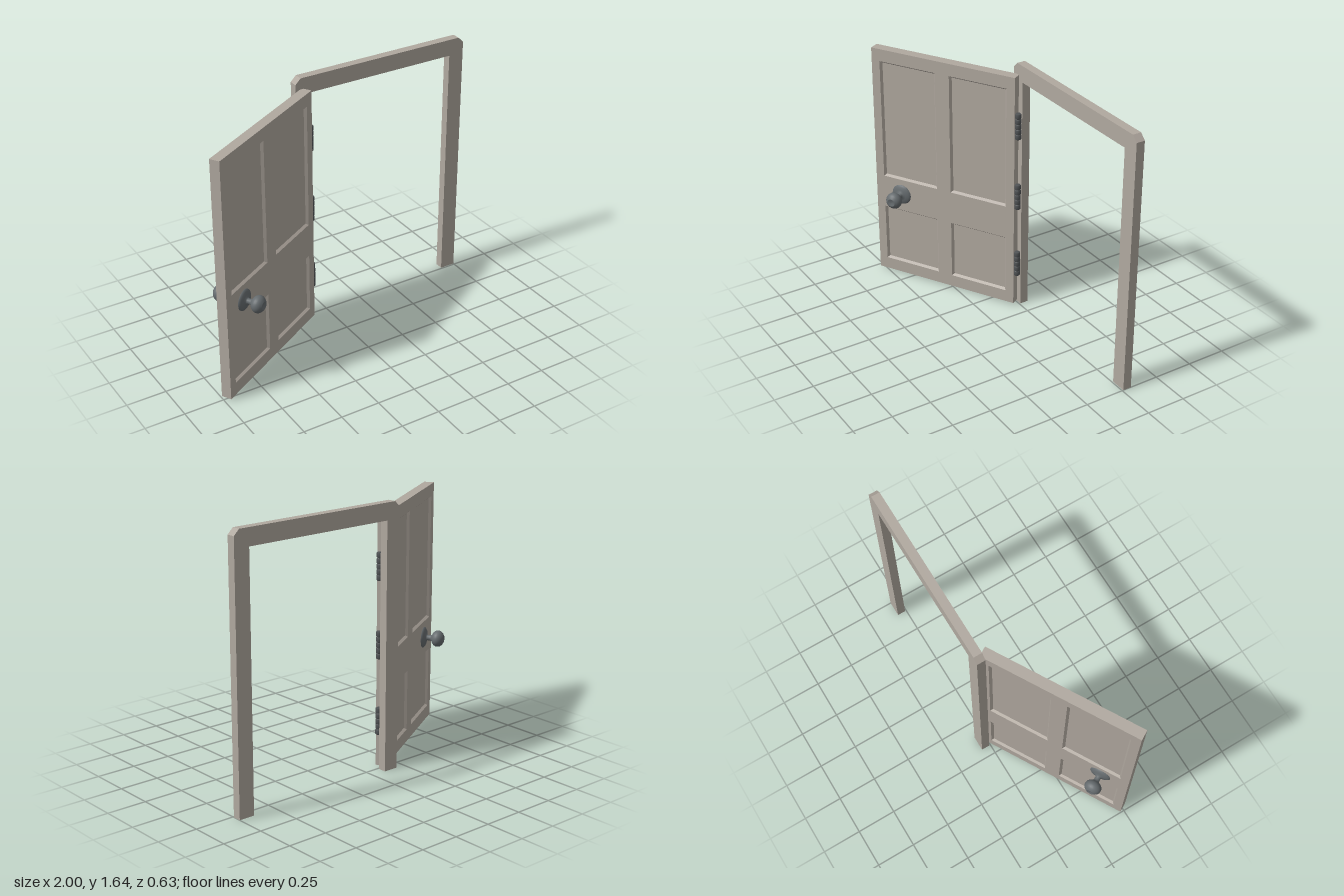
import * as THREE from 'three';
import { mergeGeometries } from 'three/addons/utils/BufferGeometryUtils.js';

const W = 0.988, T = 0.064;          // door width and thickness
const BOTTOM = 0.01, TOP = 1.575;    // door heights
const INSET = 0.012, DEPTH = 0.015;  // sloped border of the sunken panels

const mat = (name, color) => {
  const m = new THREE.MeshStandardMaterial({ color });
  m.name = name;
  return m;
};

const mesh = (name, geometry, material) => {
  const m = new THREE.Mesh(geometry, material);
  m.name = name;
  return m;
};

// Corners of a rectangle [left, bottom, right, top], counter-clockwise
const corners = ([l, b, r, t]) => [[l, b], [r, b], [r, t], [l, t]];

// Four flat quads joining rectangle a at depth za to rectangle b at depth zb
function ring(a, za, b, zb) {
  const A = corners(a), B = corners(b), pos = [];
  for (let i = 0; i < 4; i++) {
    const j = (i + 1) % 4;
    const q = [[...A[i], za], [...A[j], za], [...B[j], zb], [...B[i], zb]];
    for (const k of [0, 1, 2, 0, 2, 3]) pos.push(...q[k]);
  }
  const g = new THREE.BufferGeometry();
  g.setAttribute('position', new THREE.Float32BufferAttribute(pos, 3));
  g.computeVertexNormals();
  return g;
}

// Flat sheet at depth z, with optional rectangular holes
function sheet(rect, z, holes = []) {
  const toPoints = r => corners(r).map(p => new THREE.Vector2(...p));
  const s = new THREE.Shape(toPoints(rect));
  holes.forEach(h => s.holes.push(new THREE.Path(toPoints(h).reverse())));
  const g = new THREE.ShapeGeometry(s).toNonIndexed();
  g.deleteAttribute('uv');
  return g.translate(0, 0, z);
}

export function createModel() {
  const model = new THREE.Group();
  model.name = 'openDoor';
  const wood = mat('paintedWood', 0xb0a89f);
  const knobMetal = mat('knobMetal', 0x666c6f);
  const hingeMetal = mat('hingeMetal', 0x505355);

  // Door frame: two posts and a lintel with clipped top corners
  const outline = [
    [-0.19, 0], [-0.095, 0], [-0.095, 1.54], [0.9, 1.54], [0.9, 0], [1, 0],
    [1, 1.61], [0.965, 1.645], [-0.155, 1.645], [-0.19, 1.61],
  ].map(p => new THREE.Vector2(...p));
  const frame = new THREE.ExtrudeGeometry(new THREE.Shape(outline), { depth: 0.054, bevelEnabled: false });
  frame.translate(0, 0, -0.312);
  model.add(mesh('doorFrame', frame, wood));

  // Door leaf, swung open
  const door = new THREE.Group();
  door.name = 'door';
  door.position.set(-0.553, 0, 0.006);
  door.rotation.y = Math.PI / 6;
  model.add(door);

  const leaf = [-W / 2, BOTTOM, W / 2, TOP];
  door.add(mesh('doorEdges', ring(leaf, -T / 2, leaf, T / 2), wood));

  const panels = [];
  for (const [b, t] of [[0.09, 0.48], [0.7, 1.495]])
    for (const [l, r] of [[-0.438, -0.049], [0.049, 0.438]]) panels.push([l, b, r, t]);

  // One face: rails and stiles around four sunken panels
  const parts = [sheet(leaf, T / 2, panels)];
  for (const p of panels) {
    const inner = [p[0] + INSET, p[1] + INSET, p[2] - INSET, p[3] - INSET];
    parts.push(ring(p, T / 2, inner, T / 2 - DEPTH), sheet(inner, T / 2 - DEPTH));
  }
  const face = mergeGeometries(parts);

  // Rose, neck and rounded knob with a dimpled tip, turned in one profile
  const profile = [
    [0.067, T / 2], [0.065, 0.037], [0.055, 0.044], [0.038, 0.049], [0.022, 0.053],
    [0.017, 0.06], [0.017, 0.078],
  ];
  for (let i = 0; i <= 10; i++) {
    const a = -1.15 + i * 0.22;
    profile.push([0.053 * Math.cos(a), 0.127 + 0.042 * Math.sin(a)]);
  }
  profile.push([0.024, 0.165], [0.018, 0.161], [0, 0.159]);
  const knob = new THREE.LatheGeometry(profile.map(p => new THREE.Vector2(...p)), 28);
  knob.rotateX(Math.PI / 2);

  for (const [side, turn, x] of [['front', 0, -0.311], ['back', Math.PI, 0.311]]) {
    const g = new THREE.Group();
    g.name = side + 'Side';
    g.rotation.y = turn;
    const k = mesh(side + 'Knob', knob, knobMetal);
    k.position.set(x, 0.596, 0);
    g.add(mesh(side + 'Face', face, wood), k);
    door.add(g);
  }

  // Hinges: barrels of five knuckles with grooves between them
  const R = 0.02, H = 0.17, N = 5, step = H / N;
  const barrel = [[0, 0]];
  for (let i = 0; i < N; i++) {
    const y = i * step;
    barrel.push([R - 0.005, y], [R, y + 0.005], [R, y + step - 0.005], [R - 0.005, y + step]);
  }
  barrel.push([0, H]);
  const hinge = new THREE.LatheGeometry(barrel.map(p => new THREE.Vector2(...p)), 16);
  for (const [name, y] of [['lowerHinge', 0.215], ['middleHinge', 0.692], ['upperHinge', 1.17]]) {
    const h = mesh(name, hinge, hingeMetal);
    h.position.set(-0.108, y, -0.238);
    model.add(h);
  }
  return model;
}
